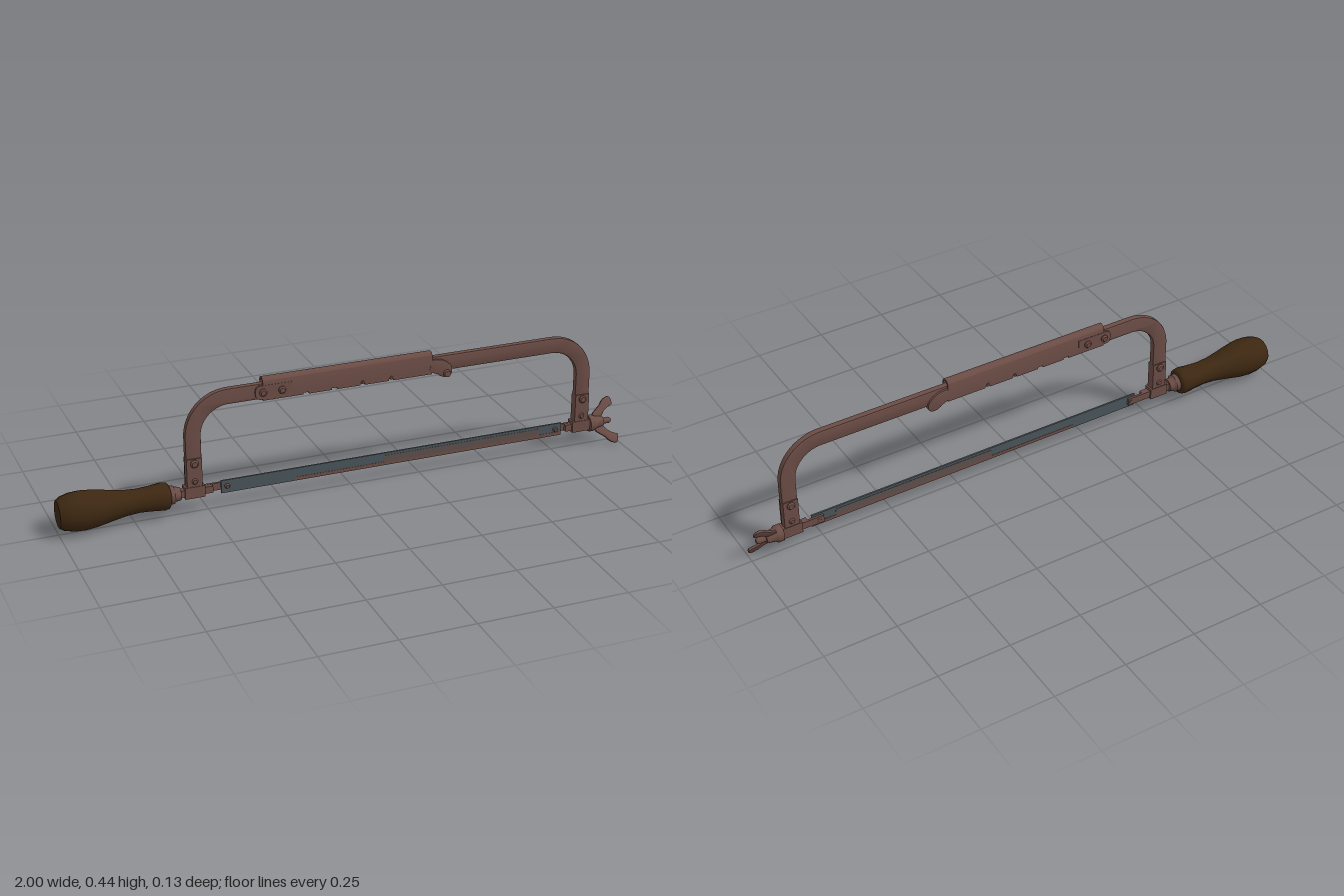
import * as THREE from 'three';
import { toCreasedNormals } from 'three/addons/utils/BufferGeometryUtils.js';

const mat = (name, color) => {
  const m = new THREE.MeshStandardMaterial({ color });
  m.name = name;
  return m;
};

export function createModel() {
  const root = new THREE.Group();
  root.name = 'hacksaw';
  const metal = mat('rusted metal', 0x6b4c45);
  const wood = mat('dark wood', 0x3c2711);
  const steel = mat('blade steel', 0x49545a);
  const tarnish = mat('tarnished steel', 0x5b4f4d);
  const AXIS = 0.074; // height of the handle, rods and blade

  const add = (name, geo, material, parent = root) => {
    const m = new THREE.Mesh(geo, material);
    m.name = name;
    parent.add(m);
    return m;
  };
  // box given by its limits in x and y, centred in z
  const slab = (name, x0, x1, y0, y1, depth, material = metal, z = 0) => {
    const m = add(name, new THREE.BoxGeometry(x1 - x0, y1 - y0, depth), material);
    m.position.set((x0 + x1) / 2, (y0 + y1) / 2, z);
    return m;
  };
  // turned part along x from [x, radius] pairs
  const turned = (name, pts, sides, material, crease = 0.7) => {
    const lathe = new THREE.LatheGeometry(pts.map(([x, r]) => new THREE.Vector2(r, x)), sides);
    const m = add(name, toCreasedNormals(lathe, crease), material);
    m.rotation.z = -Math.PI / 2;
    m.position.y = AXIS;
    return m;
  };
  // flat outline centred in z
  const plate = (name, shape, depth, bevel = 0, parent = root) => {
    const geo = new THREE.ExtrudeGeometry(shape, {
      depth: depth - 2 * bevel, bevelEnabled: bevel > 0, bevelThickness: bevel,
      bevelSize: bevel, bevelOffset: -bevel, bevelSegments: 2, curveSegments: 10,
    });
    geo.translate(0, 0, -depth / 2 + bevel);
    return add(name, toCreasedNormals(geo, 0.6), metal, parent);
  };
  // rivet through the thickness with a head on both sides
  const rivet = (name, x, y, r, half) => {
    const pts = [[0, -half], [r * 0.65, -half], [r, -half + 0.005], [r, half - 0.005], [r * 0.65, half], [0, half]];
    const m = add(name, toCreasedNormals(new THREE.LatheGeometry(pts.map(p => new THREE.Vector2(...p)), 10), 0.6), metal);
    m.rotation.x = Math.PI / 2;
    m.position.set(x, y, 0);
  };

  // bent bar frame
  const L = -0.575, R = 0.885, T = 0.42, B = 0.09, W = 0.055, ro = 0.15, ri = ro - W;
  const bow = new THREE.Shape();
  bow.moveTo(L, B);
  bow.lineTo(L, T - ro);
  bow.absarc(L + ro, T - ro, ro, Math.PI, Math.PI / 2, true);
  bow.lineTo(R - ro, T);
  bow.absarc(R - ro, T - ro, ro, Math.PI / 2, 0, true);
  bow.lineTo(R, B);
  bow.lineTo(R - W, B);
  bow.lineTo(R - W, T - ro);
  bow.absarc(R - ro, T - ro, ri, 0, Math.PI / 2, false);
  bow.lineTo(L + ro, T - W);
  bow.absarc(L + ro, T - ro, ri, Math.PI / 2, Math.PI, false);
  bow.lineTo(L + W, B);
  bow.closePath();
  plate('frame', bow, 0.023, 0.006);

  // leg cheeks, bolts and rod brackets
  for (const [side, x] of [['rear', L + W / 2], ['front', R - W / 2]]) {
    slab(side + 'LegCheeks', x - 0.026, x + 0.026, 0.085, 0.195, 0.03);
    rivet(side + 'UpperBolt', x, 0.178, 0.014, 0.023);
    rivet(side + 'LowerBolt', x, 0.115, 0.011, 0.02);
    slab(side + 'RodBracket', x - 0.034, x + 0.034, 0.056, 0.096, 0.034);
  }

  // hollow arched sleeve over the top bar
  const arch = new THREE.Shape();
  const a = 0.017, b = 0.011, ay = 0.423;
  arch.moveTo(a, 0.368);
  arch.lineTo(a, ay);
  arch.absarc(0, ay, a, 0, Math.PI, false);
  arch.lineTo(-a, 0.368);
  arch.lineTo(-b, 0.368);
  arch.lineTo(-b, ay);
  arch.absarc(0, ay, b, Math.PI, 0, true);
  arch.lineTo(b, 0.368);
  arch.closePath();
  const sleeve = new THREE.ExtrudeGeometry(arch, { depth: 0.595, bevelEnabled: false, curveSegments: 10 });
  sleeve.rotateY(Math.PI / 2);
  sleeve.translate(-0.31, 0, 0);
  add('sleeve', toCreasedNormals(sleeve, 0.6), metal);

  // rounded sleeve end and the bottom lips between the notches
  const tab = new THREE.Shape();
  tab.moveTo(-0.21, 0.367);
  tab.lineTo(-0.21, 0.415);
  tab.lineTo(-0.317, 0.415);
  tab.quadraticCurveTo(-0.336, 0.415, -0.336, 0.391);
  tab.quadraticCurveTo(-0.336, 0.367, -0.317, 0.367);
  tab.closePath();
  plate('sleeveEnd', tab, 0.036);
  for (const [x0, x1] of [[-0.31, -0.172], [-0.152, -0.072], [-0.052, 0.028], [0.044, 0.13], [0.146, 0.285]])
    slab('sleeveLip', x0, x1, 0.362, 0.371, 0.034);
  for (const x of [-0.31, -0.245]) rivet('sleeveRivet', x, 0.391, 0.013, 0.026);
  for (const x of [0.036, 0.138]) rivet('stopPin', x, 0.372, 0.007, 0.02);

  // drooping latch at the sleeve mouth
  const latch = new THREE.Shape();
  latch.moveTo(0.272, 0.372);
  latch.lineTo(0.285, 0.412);
  latch.quadraticCurveTo(0.33, 0.415, 0.355, 0.382);
  latch.quadraticCurveTo(0.366, 0.355, 0.345, 0.345);
  latch.quadraticCurveTo(0.325, 0.34, 0.305, 0.358);
  latch.closePath();
  plate('latch', latch, 0.036, 0.003);
  const knob = add('latchKnob', new THREE.CylinderGeometry(0.011, 0.014, 0.012, 10), metal);
  knob.rotation.x = Math.PI / 2;
  knob.position.set(0.338, 0.358, 0.022);

  // blade with worn patches on both faces
  slab('blade', -0.455, 0.785, 0.05, 0.095, 0.006, steel);
  for (const z of [-0.0034, 0.0034]) {
    slab('toothBand', -0.2, 0.783, 0.051, 0.063, 0.001, metal, z);
    slab('bladeTarnish', 0.12, 0.7, 0.063, 0.086, 0.001, tarnish, z);
  }
  for (const x of [-0.435, 0.762]) rivet('bladePin', x, 0.074, 0.009, 0.012);

  // blade holders and rods
  slab('rearHolder', -0.52, -0.425, 0.061, 0.087, 0.008, metal, -0.007);
  slab('rearRod', -0.61, -0.485, 0.062, 0.086, 0.022);
  slab('frontHolder', 0.745, 0.84, 0.061, 0.087, 0.008, metal, -0.007);
  slab('frontRod', 0.8, 0.9, 0.062, 0.086, 0.022);
  turned('threadedRod', [[0.88, 0], [0.88, 0.011], [0.974, 0.011], [0.98, 0.007], [0.98, 0]], 10, metal);

  // wing nut
  const nut = new THREE.Group();
  nut.name = 'wingNut';
  root.add(nut);
  nut.add(turned('nutHub', [[0.892, 0], [0.892, 0.029], [0.91, 0.029], [0.918, 0.023], [0.948, 0.018], [0.948, 0]], 12, metal));
  const wing = new THREE.Shape();
  wing.moveTo(0.905, 0.01);
  wing.lineTo(0.918, 0.034);
  wing.lineTo(0.95, 0.058);
  wing.quadraticCurveTo(0.962, 0.079, 0.985, 0.083);
  wing.quadraticCurveTo(1.0, 0.08, 0.997, 0.052);
  wing.quadraticCurveTo(0.975, 0.045, 0.962, 0.034);
  wing.lineTo(0.942, 0.01);
  wing.closePath();
  for (const turn of [0, Math.PI]) {
    const m = plate('wing', wing, 0.009, 0.002, nut);
    m.rotation.x = turn - 0.52;
    m.position.y = AXIS;
  }

  // ferrule and turned wooden handle
  turned('ferrule', [[-0.645, 0], [-0.645, 0.031], [-0.618, 0.031], [-0.612, 0.025], [-0.595, 0.022], [-0.595, 0]], 12, metal);
  turned('handle', [
    [-1, 0], [-1, 0.046], [-0.985, 0.056], [-0.955, 0.064], [-0.92, 0.066], [-0.88, 0.062], [-0.83, 0.052],
    [-0.78, 0.043], [-0.735, 0.04], [-0.69, 0.043], [-0.655, 0.047], [-0.638, 0.044], [-0.632, 0.036], [-0.632, 0],
  ], 14, wood, 0.8);

  return root;
}
